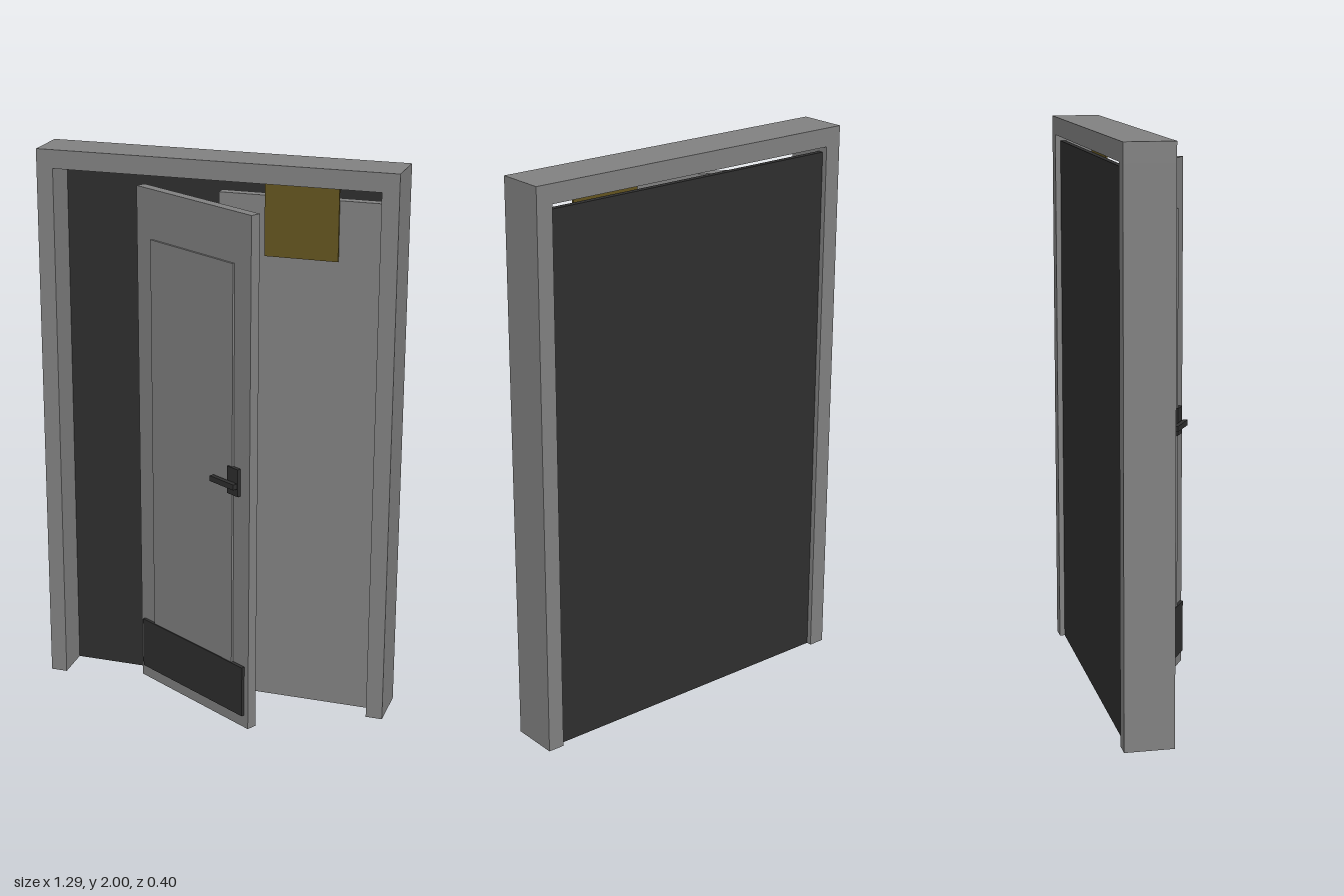
import * as THREE from 'three';

const mat = (name, color) => {
  const m = new THREE.MeshStandardMaterial({ color });
  m.name = name;
  return m;
};

export function createModel() {
  const grey = mat('grey paint', 0x808080);
  const dark = mat('dark metal', 0x2e2e2e);
  const gold = mat('ochre sign', 0x62531f);

  // Box given by its min and max corners
  const box = (parent, name, material, [x0, y0, z0], [x1, y1, z1]) => {
    const mesh = new THREE.Mesh(new THREE.BoxGeometry(x1 - x0, y1 - y0, z1 - z0), material);
    mesh.position.set((x0 + x1) / 2, (y0 + y1) / 2, (z0 + z1) / 2);
    mesh.name = name;
    parent.add(mesh);
    return mesh;
  };

  const model = new THREE.Group();
  model.name = 'doorway';

  const outer = 0.643, inner = 0.583, back = -0.202, front = -0.03;
  const mid = (back + front) / 2, half = 0.0185, leafTop = 1.88;

  // Frame: two jambs and a lintel
  const frame = new THREE.Group();
  frame.name = 'frame';
  model.add(frame);
  box(frame, 'rightJamb', grey, [-outer, 0, back], [-inner, 1.934, front]);
  box(frame, 'leftJamb', grey, [inner, 0, back], [outer, 1.934, front]);
  box(frame, 'lintel', grey, [-outer, 1.934, back], [outer, 2, front]);

  // Dark panel closing the opening
  box(model, 'backPanel', dark, [-inner, 0, -0.183], [inner, 1.912, -0.163]);

  // Fixed leaf with its sign
  box(model, 'fixedLeaf', grey, [0, 0, mid - half], [inner, leafTop, mid + half]);
  box(model, 'sign', gold, [0.165, 1.67, mid + half], [0.425, 1.934, mid + half + 0.008]);

  // Swinging leaf, turned open about its hinge edge
  const door = new THREE.Group();
  door.name = 'openDoor';
  door.position.set(-inner / 2, 0, mid);
  door.rotation.y = -Math.PI / 6;
  model.add(door);
  box(door, 'doorLeaf', grey, [0, 0, -half], [inner, leafTop, half]);
  box(door, 'raisedPanel', grey, [0.08, 0.18, half], [0.503, 1.704, half + 0.008]);
  box(door, 'kickPlate', dark, [0.02, 0.048, half], [0.563, 0.24, half + 0.012]);

  // Lever handle
  const handle = new THREE.Group();
  handle.name = 'handle';
  door.add(handle);
  box(handle, 'handlePlate', dark, [0.485, 0.885, half], [0.538, 0.985, half + 0.014]);
  box(handle, 'lever', dark, [0.417, 0.915, 0.036], [0.538, 0.935, 0.053]);
  const neck = new THREE.Mesh(new THREE.CylinderGeometry(0.009, 0.009, 0.02, 12), dark);
  neck.rotation.x = Math.PI / 2;
  neck.position.set(0.515, 0.925, 0.035);
  neck.name = 'handleNeck';
  handle.add(neck);

  return model;
}
